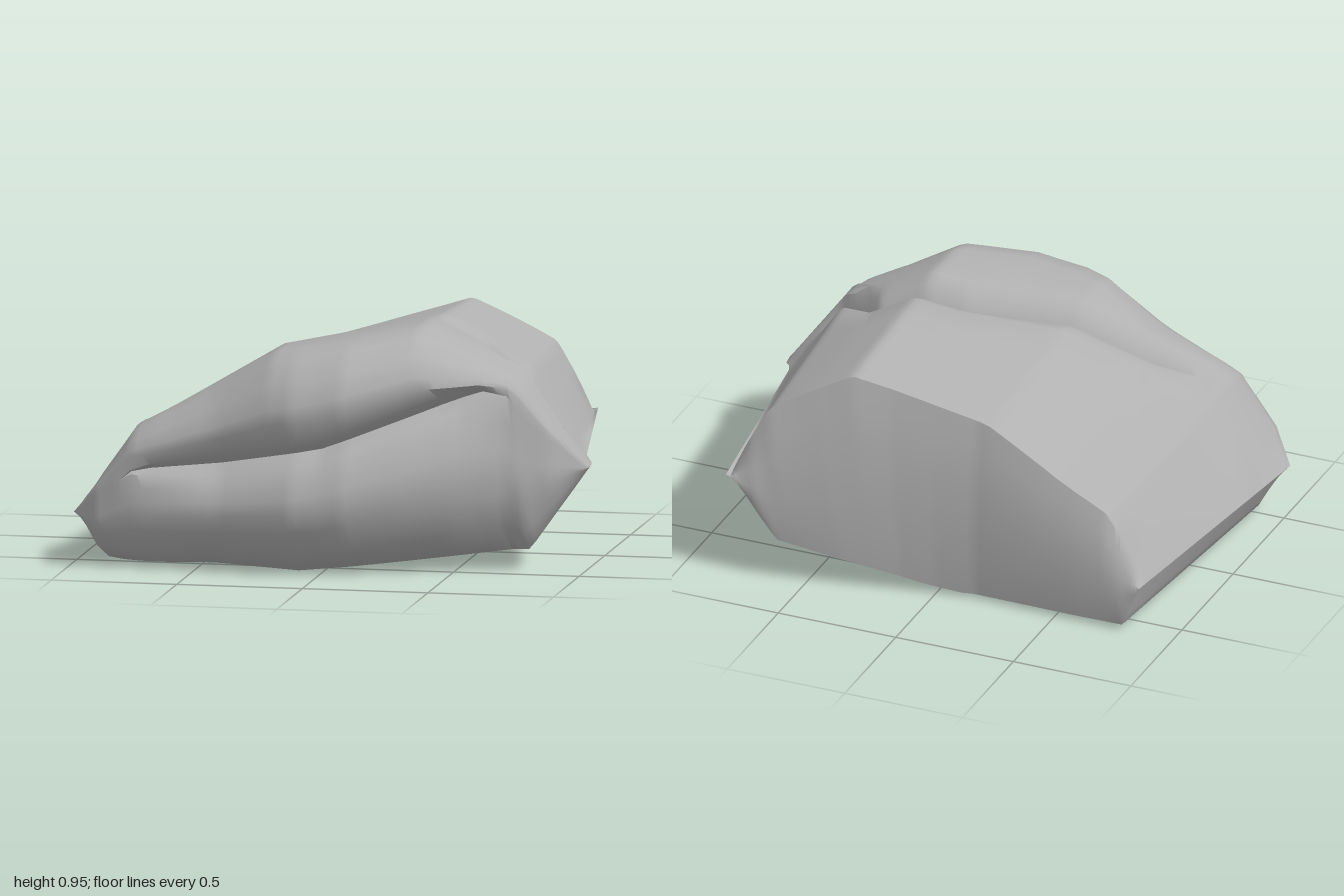
import * as THREE from 'three';
import { toCreasedNormals } from 'three/addons/utils/BufferGeometryUtils.js';

// Piecewise-linear curve through [x, value] pairs
const curve = (...p) => (x) => {
  let i = 1;
  while (i < p.length - 1 && x > p[i][0]) i++;
  const [a, b] = [p[i - 1], p[i]];
  return THREE.MathUtils.lerp(a[1], b[1], THREE.MathUtils.clamp((x - a[0]) / (b[0] - a[0]), 0, 1));
};

// Outlines across the width
const top = curve([-1, 0.2], [-0.75, 0.55], [-0.6, 0.63], [-0.2, 0.86], [0.1, 0.91], [0.36, 0.955], [0.74, 0.76], [1, 0.4]);
const bottom = curve([-1, 0.2], [-0.89, 0.02], [-0.1, 0], [0.78, 0.08], [1, 0.4]);
const front = curve([-1, 0.57], [-0.9, 0.67], [-0.75, 0.7], [-0.4, 0.74], [-0.1, 0.8], [0.1, 0.78], [0.3, 0.72], [0.5, 0.65], [0.7, 0.57], [0.87, 0.47], [1, 0.32]);
const back = curve([-1, -0.6], [-0.6, -0.6], [-0.15, -0.59], [0.2, -0.65], [0.5, -0.72], [0.85, -0.79], [1, -0.8]);

// Long front crease: height, depth and how far the face leans back
const creaseY = curve([-1, 0.2], [-0.75, 0.38], [-0.4, 0.4], [0, 0.47], [0.3, 0.58], [0.6, 0.69], [0.7, 0.69], [0.8, 0.58], [1, 0.4]);
const creaseDepth = curve([-0.8, 0], [-0.68, 0.07], [-0.4, 0.13], [0, 0.17], [0.45, 0.16], [0.6, 0.1], [0.72, 0]);
const lean = curve([0.1, 0], [0.7, 0.12], [0.9, 0.04], [1, 0]);

// Groove over the top: position, depth, and the lower rear behind it
const grooveZ = curve([-1, 0.3], [-0.8, 0.45], [-0.68, 0.47], [-0.4, 0.35], [0, 0.2], [0.2, 0.12], [0.55, 0.07], [0.78, 0.26], [1, 0.19]);
const grooveDepth = curve([-0.75, 0], [-0.5, 0.06], [0, 0.08], [0.4, 0.08], [0.6, 0.08], [0.75, 0.07], [0.95, 0.02], [1, 0]);
const rearDrop = curve([-1, 0], [-0.75, 0.08], [-0.5, 0.11], [-0.2, 0.12], [0.1, 0.085], [0.36, 0.06], [0.74, 0.04], [1, 0]);

// Narrowing towards the back on each side, and the rising underside
const leftTaper = curve([-0.6, 0.14], [0.57, 0]);
const rightTaper = curve([-0.8, 0.19], [0.18, 0.04], [0.22, 0]);
const backLift = curve([-1, 0], [-0.1, 0.02], [0.1, 0.03], [0.78, 0.11], [1, 0.08]);

// Closed [x, y, z] outline of the boulder at one station across the width
function section(x) {
  const T = top(x), B = bottom(x), H = T - B, F = front(x), K = back(x);
  const M = creaseY(x), d = creaseDepth(x), e = Math.min(1, d / 0.13);
  const G = grooveZ(x), g = grooveDepth(x), drop = rearDrop(x);
  const s = Math.min(1, (F - G - 0.06) / 0.3);
  const face = (inset, y) => [F - inset * s - lean(x) * (H > 0.01 ? (y - B) / H : 0), y];
  const low = (inset, t) => face(inset, B + (M - B) * t);
  const high = (inset, t) => face(inset, M + (T - M) * t);
  const rear = (inset, t) => [K + inset, B + (H - drop) * t];
  const zb = K + 0.01, zf = F - 0.22 * s;
  const pts = [];
  // underside
  for (let i = 0; i <= 5; i++) pts.push([zb + (zf - zb) * i / 5, B]);
  // lower lip
  pts.push(low(0.1, 0.16), low(0.04, 0.38), low(0.01, 0.55), low(0.01 + 0.01 * e, 0.68), low(0.01 + 0.035 * e, 0.83));
  // crease
  pts.push(face(0.01 + 0.08 * e, M - 0.025 * e));
  pts.push([face(0.01, M)[0] - d, M + 0.02 * e]);
  pts.push(face(0.01 + 0.05 * e, M + Math.min(0.06, (T - M) * 0.3) * e));
  // upper lip and shoulder
  pts.push(high(0.01, 0.38), high(0.015, 0.52), high(0.06, 0.73), high(0.15, 0.92), high(0.25, 0.99));
  // crest and groove
  pts.push([G + 0.09 * s, T], [G + 0.035 * s, T - g * 0.25], [G, T - g], [G - 0.035, T - g * 0.7], [G - 0.09, T - drop * 0.4]);
  // rear top
  const zt = K + 0.06;
  for (let i = 1; i <= 5; i++) pts.push([G - 0.09 + (zt - G + 0.09) * i / 5, T - drop * (0.4 + 0.12 * i)]);
  // rear face
  pts.push(rear(0.035, 0.85), rear(0.01, 0.65), rear(0, 0.4), rear(0, 0.15));
  // taper the sides and tuck in the lower right rear
  return pts.map(([z, y]) => {
    const v = H > 0.01 ? (y - B) / H : 0.4;
    const t = THREE.MathUtils.clamp((0.3 - z) / 1.1, 0, 1) * (1 - v);
    const taper = x < 0 ? leftTaper(z) : rightTaper(z);
    const tuck = 0.5 * t * Math.max(0, x) * (1 - x);
    return [x - taper * x * x * x - tuck, y + backLift(x) * t, z];
  });
}

function boulderGeometry() {
  const columns = 80, pos = [], index = [];
  let n = 0;
  for (let i = 0; i <= columns; i++) {
    const ring = section(-1 + 2 * i / columns);
    n = ring.length;
    pos.push(...ring.flat());
  }
  for (let i = 0; i < columns; i++) {
    for (let j = 0; j < n; j++) {
      const k = (j + 1) % n;
      const a = i * n + j, b = a + n, c = i * n + k, d = c + n;
      index.push(a, b, c, b, d, c);
    }
  }
  const geo = new THREE.BufferGeometry();
  geo.setAttribute('position', new THREE.Float32BufferAttribute(pos, 3));
  geo.setIndex(index);
  return toCreasedNormals(geo, 0.85);
}

export function createModel() {
  const group = new THREE.Group();
  group.name = 'boulder';
  const stone = new THREE.MeshStandardMaterial({ color: 0xb0b0b0 });
  stone.name = 'stone grey';
  const rock = new THREE.Mesh(boulderGeometry(), stone);
  rock.name = 'creasedRock';
  group.add(rock);
  return group;
}
